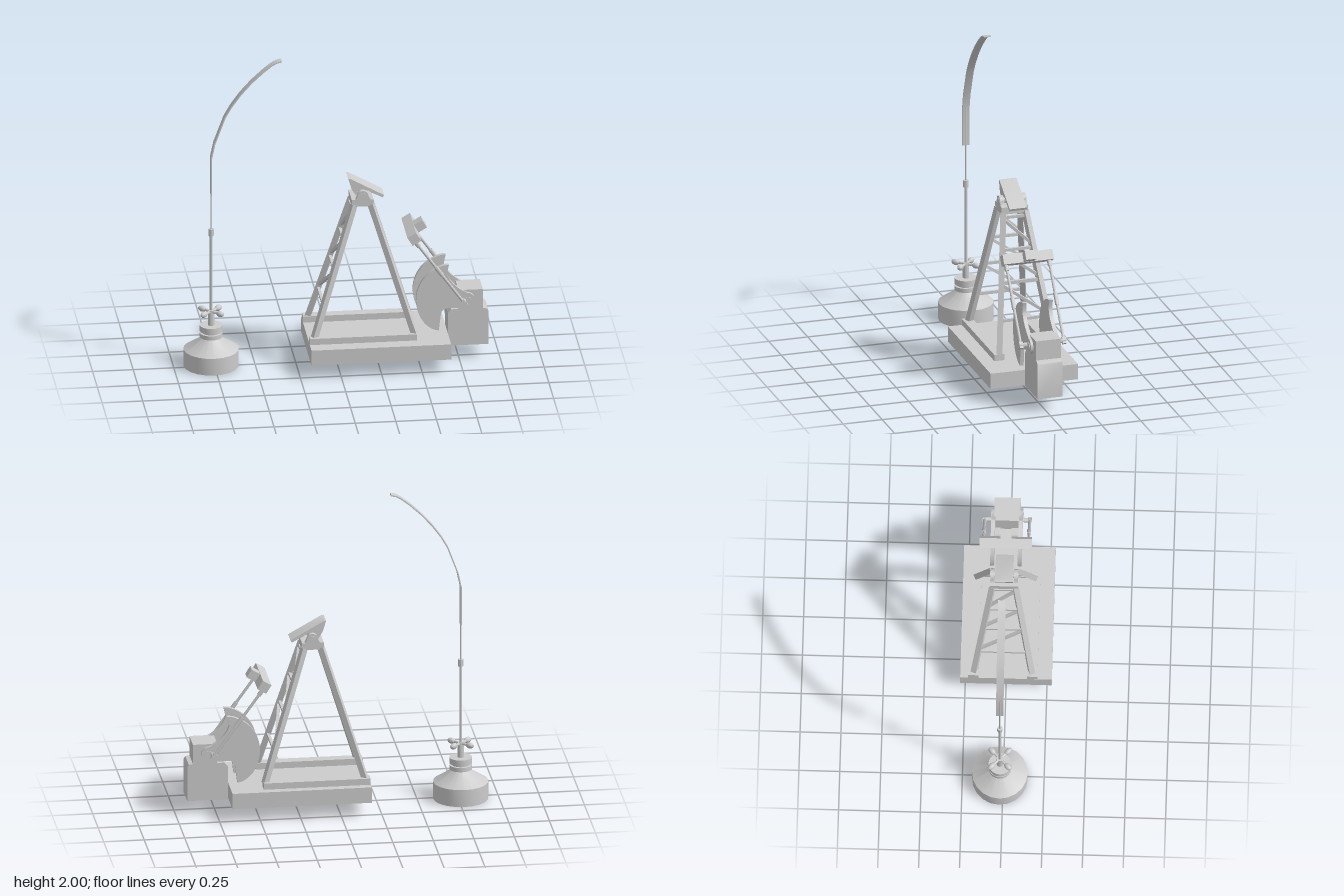
import * as THREE from 'three';
import { toCreasedNormals } from 'three/addons/utils/BufferGeometryUtils.js';

const CZ = -0.02; // centre plane of the machinery
const mat = new THREE.MeshStandardMaterial({ color: 0xcccccc, side: THREE.DoubleSide });
const V = (x, y, z) => new THREE.Vector3(x, y, z);

export function createModel() {
  const root = new THREE.Group();

  const add = (name, geo, x = 0, y = 0, z = 0) => {
    const m = new THREE.Mesh(geo, mat);
    m.name = name;
    m.position.set(x, y, z);
    root.add(m);
    return m;
  };
  // box given by its limits
  const box = (name, x0, x1, y0, y1, z0, z1, geo) => add(name,
    geo || new THREE.BoxGeometry(x1 - x0, y1 - y0, z1 - z0), (x0 + x1) / 2, (y0 + y1) / 2, (z0 + z1) / 2);
  // box without its bottom (and optionally without its top)
  const openBox = (name, x0, x1, y0, y1, z0, z1, noTop) => {
    const geo = new THREE.BoxGeometry(x1 - x0, y1 - y0, z1 - z0);
    const idx = Array.from(geo.index.array);
    geo.setIndex(idx.filter((_, i) => !(i >= 18 && i < 24) && !(noTop && i >= 12 && i < 18)));
    geo.clearGroups();
    return box(name, x0, x1, y0, y1, z0, z1, geo);
  };
  // square bar between two points
  const bar = (name, a, b, w, d = w) => {
    const m = add(name, new THREE.BoxGeometry(w, d, a.distanceTo(b)));
    m.position.copy(a).add(b).multiplyScalar(0.5);
    m.lookAt(b);
    return m;
  };
  // round rod between two points
  const rod = (name, a, b, r, sides = 12) => {
    const m = add(name, toCreasedNormals(new THREE.CylinderGeometry(r, r, a.distanceTo(b), sides), 0.7));
    m.position.copy(a).add(b).multiplyScalar(0.5);
    m.quaternion.setFromUnitVectors(V(0, 1, 0), b.clone().sub(a).normalize());
    return m;
  };
  // side profile extruded along z
  const slab = (name, shape, z0, z1) => add(name, toCreasedNormals(
    new THREE.ExtrudeGeometry(shape, { depth: z1 - z0, bevelEnabled: false, curveSegments: 10 }), 0.6), 0, 0, z0);
  const poly = pts => new THREE.Shape(pts.map(p => new THREE.Vector2(...p)));

  // hollow base with two raised rails
  openBox('baseWalls', -0.185, 0.675, 0.09, 0.19, -0.28, 0.28, true);
  const deck = poly([[-0.185, -0.28], [0.675, -0.28], [0.675, 0.28], [-0.185, 0.28]]);
  for (const s of [-1, 1]) {
    const z0 = CZ + s * 0.18 - 0.032, z1 = z0 + 0.064;
    deck.holes.push(new THREE.Path([[-0.184, -z0], [0.475, -z0], [0.475, -z1], [-0.184, -z1]].map(p => new THREE.Vector2(...p))));
    openBox('baseRail', -0.184, 0.475, 0.19, 0.23, z0, z1);
  }
  add('baseDeck', new THREE.ShapeGeometry(deck).rotateX(-Math.PI / 2), 0, 0.19, 0);

  // tower: leg centre at a given height
  const leg = (sx, sz, y) => {
    const t = (y - 0.23) / 0.82;
    return V(0.155 + sx * THREE.MathUtils.lerp(0.305, 0.052, t), y, CZ + sz * THREE.MathUtils.lerp(0.175, 0.07, t));
  };
  for (const sx of [-1, 1]) {
    for (const sz of [-1, 1]) bar('towerLeg', leg(sx, sz, 0.22), leg(sx, sz, 1.05), 0.034);
    const levels = [0.42, 0.64, 0.83, 1.02];
    levels.forEach((y, i) => {
      bar('towerCrossbar', leg(sx, -1, y), leg(sx, 1, y), 0.018);
      if (i) bar('towerBrace', leg(sx, 1, y - 0.01), leg(sx, -1, levels[i - 1] + 0.02), 0.018);
    });
  }
  box('towerCap', 0.088, 0.222, 1.04, 1.085, CZ - 0.085, CZ + 0.085);

  // saddle bearing
  for (const s of [-1, 1]) {
    const arch = new THREE.Shape();
    arch.moveTo(0.112, 1.085);
    arch.lineTo(0.125, 1.11);
    arch.absarc(0.157, 1.108, 0.034, Math.PI, 0, true);
    arch.lineTo(0.204, 1.085);
    const zc = CZ + s * 0.072;
    slab('bearingBlock', arch, zc - 0.013, zc + 0.013);
  }
  rod('saddlePin', V(0.157, 1.11, CZ - 0.088), V(0.157, 1.11, CZ + 0.088), 0.02);
  slab('saddle', poly([[0.07, 1.213], [0.083, 1.213], [0.29, 1.097], [0.283, 1.082], [0.215, 1.115],
    [0.19, 1.135], [0.13, 1.135], [0.118, 1.10], [0.09, 1.145]]), CZ - 0.055, CZ + 0.055);

  // gearbox and motor housing
  slab('gearboxHousing', poly([[0.68, 0.09], [0.93, 0.09], [0.93, 0.31], [0.92, 0.325], [0.895, 0.33],
    [0.895, 0.455], [0.745, 0.455], [0.745, 0.33], [0.70, 0.33], [0.68, 0.305]]), CZ - 0.08, CZ + 0.08);

  // fan-shaped counterweight cranks
  const crank = new THREE.Shape();
  crank.moveTo(0.80, 0.345);
  crank.absarc(0.797, 0.393, 0.048, -Math.PI / 2, Math.PI / 2, false);
  crank.quadraticCurveTo(0.69, 0.50, 0.672, 0.575);
  crank.lineTo(0.685, 0.632);
  crank.lineTo(0.655, 0.63);
  crank.bezierCurveTo(0.55, 0.60, 0.48, 0.51, 0.483, 0.40);
  crank.bezierCurveTo(0.487, 0.29, 0.55, 0.21, 0.622, 0.20);
  crank.lineTo(0.635, 0.305);
  crank.quadraticCurveTo(0.64, 0.345, 0.68, 0.345);
  rod('crankShaft', V(0.80, 0.39, CZ - 0.10), V(0.80, 0.39, CZ + 0.10), 0.025);
  for (const s of [-1, 1]) {
    const zc = CZ + s * 0.084;
    slab('counterweightCrank', crank, zc - 0.012, zc + 0.012);
    // connecting rods with sleeve and crank pin
    const z = CZ + s * 0.138;
    const top = V(0.475, 0.81, z), low = V(0.78, 0.385, z);
    const at = t => top.clone().lerp(low, t);
    rod('pitmanArm', top, low, 0.009);
    rod('pitmanSleeve', at(0.40), at(0.54), 0.013);
    rod('pitmanTopSocket', at(0), at(0.07), 0.014);
    bar('pitmanFoot', at(0.94), at(1.02), 0.024);
    rod('crankPin', V(0.775, 0.393, z + s * 0.012), V(0.775, 0.393, zc), 0.014);
  }

  // equalizer beam and its coupling block, tilted together
  const equalizer = new THREE.Group();
  equalizer.name = 'equalizer';
  equalizer.position.set(0.464, 0.838, CZ);
  equalizer.rotation.z = 0.55;
  const part = (name, w, h, d, x) => {
    const m = new THREE.Mesh(new THREE.BoxGeometry(w, h, d), mat);
    m.name = name;
    m.position.x = x;
    equalizer.add(m);
  };
  part('equalizerBeam', 0.062, 0.063, 0.32, 0);
  part('equalizerCoupling', 0.062, 0.058, 0.068, 0.06);
  root.add(equalizer);

  // wellhead, open underneath
  const WX = -0.768;
  const well = [[0.17, 0], [0.17, 0.11], [0.055, 0.185], [0.052, 0.19], [0.07, 0.19], [0.07, 0.217], [0.054, 0.217],
    [0.054, 0.228], [0.07, 0.228], [0.07, 0.266], [0.02, 0.266], [0.02, 0.365], [0, 0.365]];
  add('wellhead', toCreasedNormals(new THREE.LatheGeometry(well.map(p => new THREE.Vector2(...p)), 20), 0.5), WX, 0, CZ);

  // four valve arms with bulbous ends
  for (let i = 0; i < 4; i++) {
    const a = Math.PI / 4 + i * Math.PI / 2;
    const p = r => V(WX + r * Math.cos(a), 0.355, CZ + r * Math.sin(a));
    rod('valveArm', p(0), p(0.095), 0.009, 8);
    const bulb = add('valveBulb', new THREE.SphereGeometry(0.02, 10, 8));
    bulb.position.copy(p(0.07));
    bulb.scale.set(1.4, 0.95, 0.9);
    bulb.rotation.y = -a;
  }

  // polished rod and clamp
  rod('polishedRod', V(WX, 0.36, CZ), V(WX, 0.88, CZ), 0.009);
  rod('rodClamp', V(WX, 0.857, CZ), V(WX, 0.902, CZ), 0.017, 8);
  rod('hangerRod', V(WX, 0.9, CZ), V(WX, 1.38, CZ), 0.005, 8);

  // curved hanger strap
  const path = [[-0.768, 1.13], [-0.768, 1.375], [-0.748, 1.47], [-0.685, 1.64], [-0.645, 1.71], [-0.587, 1.79],
    [-0.52, 1.865], [-0.45, 1.93], [-0.397, 1.972], [-0.365, 1.99], [-0.335, 1.996]].map(p => new THREE.Vector2(...p));
  const sides = [[], []];
  path.forEach((p, i) => {
    const t = path[Math.min(i + 1, path.length - 1)].clone().sub(path[Math.max(i - 1, 0)]).normalize();
    [1, -1].forEach((s, k) => sides[k].push(V(p.x - t.y * 0.004 * s, p.y + t.x * 0.004 * s, 0)));
  });
  const strap = [...sides[0], ...sides[1].reverse()].map(v => [v.x, v.y]).reverse();
  slab('hangerStrap', poly(strap), CZ - 0.023, CZ + 0.023);

  return root;
}
